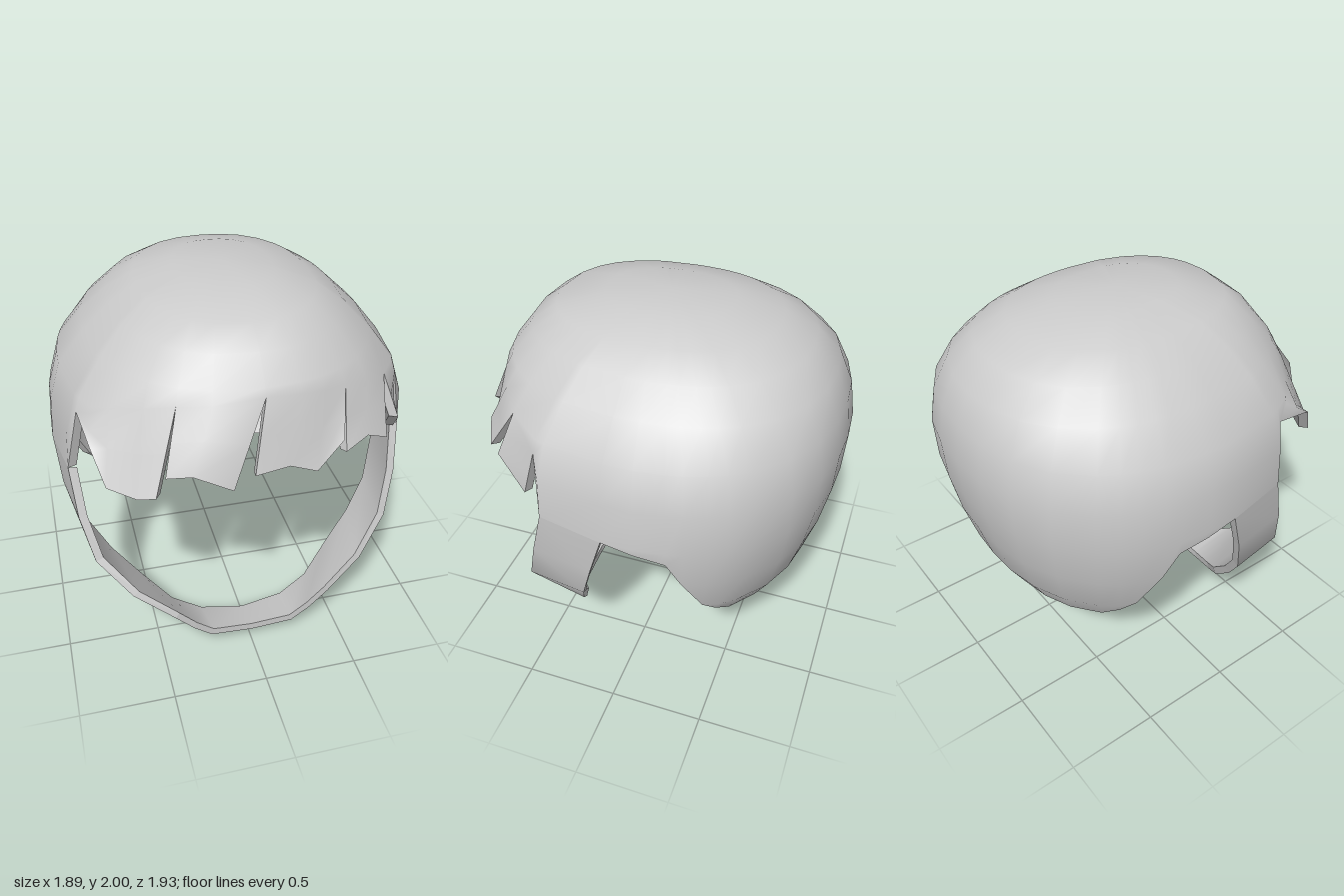
import * as THREE from 'three';
import { mergeVertices } from 'three/addons/utils/BufferGeometryUtils.js';

const V = (x, y, z) => new THREE.Vector3(x, y, z);

// Level rings of the dome: height, half width, front depth, back depth
const RINGS = [
  [2, 0, 0, 0], [1.98, 0.25, 0.34, 0.33], [1.92, 0.45, 0.59, 0.57], [1.83, 0.59, 0.71, 0.74],
  [1.7, 0.73, 0.81, 0.865], [1.53, 0.87, 0.89, 0.935], [1.33, 0.93, 0.96, 0.965],
  [1.1, 0.945, 0.97, 0.95], [0.86, 0.92, 0.95, 0.9], [0.63, 0.855, 0.9, 0.83], [0.46, 0.77, 0.85, 0.73],
];
const ROUND = 2.3; // how square the rings are

// Point on the dome at height y, in the direction of (dx, dz)
function domePoint(dx, dz, y) {
  let k = 0;
  while (k < RINGS.length - 2 && RINGS[k + 1][0] > y) k++;
  const p = RINGS[k], q = RINGS[k + 1], t = (p[0] - y) / (p[0] - q[0]);
  const mix = (i) => p[i] + (q[i] - p[i]) * t;
  const a = mix(1), c = mix(dz > 0 ? 2 : 3);
  if (a < 1e-6) return V(0, y, 0);
  const s = Math.pow(Math.pow(Math.abs(dx) / a, ROUND) + Math.pow(Math.abs(dz) / c, ROUND), -1 / ROUND);
  return V(dx * s, y, dz * s);
}

// One column from the crown down to height end, then optionally on to a lock tip
function column(dx, dz, end, tip) {
  const pts = RINGS.map((r) => domePoint(dx, dz, Math.max(r[0], end)));
  const last = pts[pts.length - 1];
  const goal = tip ? V(...tip) : last;
  for (const t of [0.5, 1]) pts.push(last.clone().lerp(goal, t));
  return pts;
}

function surface(quads, smooth) {
  const pos = [];
  for (const [a, b, c, d] of quads)
    for (const tri of [[a, b, c], [a, c, d]]) {
      const area = tri[1].clone().sub(tri[0]).cross(tri[2].clone().sub(tri[0])).length();
      if (area > 1e-7) for (const v of tri) pos.push(v.x, v.y, v.z);
    }
  let geo = new THREE.BufferGeometry();
  geo.setAttribute('position', new THREE.Float32BufferAttribute(pos, 3));
  if (smooth) geo = mergeVertices(geo, 1e-4);
  geo.computeVertexNormals();
  return geo;
}

// Thick sheet from a grid of points: smooth outside and inside, flat rims
function shell(name, outer, toInner, closed, topRim) {
  const inner = outer.map((col) => col.map(toInner));
  const out = [], ins = [], rim = [];
  const n = outer.length, last = outer[0].length - 1;
  for (let i = 0; i < (closed ? n : n - 1); i++) {
    const A = outer[i], B = outer[(i + 1) % n], a = inner[i], b = inner[(i + 1) % n];
    for (let j = 0; j < last; j++) {
      out.push([A[j], B[j], B[j + 1], A[j + 1]]);
      ins.push([b[j], a[j], a[j + 1], b[j + 1]]);
    }
    rim.push([A[last], B[last], b[last], a[last]]);
    if (topRim) rim.push([a[0], b[0], B[0], A[0]]);
  }
  const group = new THREE.Group();
  group.name = name;
  const material = new THREE.MeshStandardMaterial({ color: 0xcccccc });
  for (const [part, quads, smooth] of [['Outside', out, true], ['Inside', ins, true], ['Rim', rim, false]]) {
    const mesh = new THREE.Mesh(surface(quads, smooth), material);
    mesh.name = name + part;
    group.add(mesh);
  }
  return group;
}

export function createModel() {
  const model = new THREE.Group();

  // Nape, ear cut-out and strap root on the left half: direction x, z and lower edge
  const side = [
    [0.15, -0.72, 0.465], [0.3, -0.68, 0.47], [0.45, -0.62, 0.48], [0.6, -0.53, 0.49], [0.69, -0.48, 0.56],
    [0.77, -0.43, 0.65], [0.87, -0.35, 0.87], [0.91, -0.28, 1.02], [0.94, -0.12, 1.06],
    [0.945, 0.04, 1.1], [0.9, 0.39, 1.12],
  ];

  // Fringe from left to right: brow direction x, z, brow height, and the lock tip (none at a notch)
  const fringe = [
    [0.85, 0.43, 1.46],
    [0.85, 0.43, 1.46, [0.81, 1.18, 0.5]],
    [0.7, 0.6, 1.56, [0.75, 1.34, 0.66]],
    [0.7, 0.6, 1.56],
    [0.7, 0.6, 1.56, [0.65, 1.3, 0.76]],
    [0.57, 0.72, 1.6, [0.52, 1.37, 0.82]],
    [0.43, 0.8, 1.63, [0.4, 1.32, 0.86]],
    [0.43, 0.8, 1.63],
    [0.43, 0.8, 1.63, [0.38, 1.4, 0.87]],
    [0.3, 0.83, 1.64, [0.24, 1.27, 0.91]],
    [0.18, 0.84, 1.65, [0.1, 1.33, 0.92]],
    [0, 0.85, 1.66, [-0.07, 1.31, 0.93]],
    [0, 0.85, 1.66],
    [0, 0.85, 1.66, [-0.18, 1.27, 0.965]],
    [-0.25, 0.84, 1.64, [-0.37, 1.38, 0.965]],
    [-0.42, 0.8, 1.63, [-0.48, 1.33, 0.88]],
    [-0.42, 0.8, 1.63],
    [-0.42, 0.8, 1.63, [-0.53, 1.24, 0.9]],
    [-0.56, 0.72, 1.6, [-0.61, 1.22, 0.86]],
    [-0.7, 0.6, 1.56, [-0.74, 1.23, 0.75]],
    [-0.78, 0.52, 1.5, [-0.79, 1.4, 0.66]],
    [-0.85, 0.43, 1.46],
  ];
  const mirrored = side.map(([x, z, y]) => [-x, z, y]).reverse();
  const columns = [[0, -0.73, 0.46], ...side, ...fringe, ...mirrored].map((c) => column(...c));
  const shrink = (p) => V(p.x * 0.95, p.y > 1.2 ? 1.2 + (p.y - 1.2) * 0.96 : p.y, p.z * 0.955);
  model.add(shell('hairCap', columns, shrink, true, false));

  // Band under the chin: front edge and rear edge at each station
  const half = [
    [domePoint(0.9, 0.39, 1.12), domePoint(0.945, 0.04, 1.1)],
    [V(0.87, 0.85, 0.46), V(0.92, 0.85, 0.12)],
    [V(0.81, 0.6, 0.53), V(0.855, 0.6, 0.2)],
    [V(0.64, 0.41, 0.635), V(0.74, 0.42, 0.26)],
    [V(0.43, 0.27, 0.71), V(0.58, 0.24, 0.325)],
    [V(0.33, 0.17, 0.71), V(0.42, 0.1, 0.42)],
    [V(0.23, 0.09, 0.705), V(0.25, 0.03, 0.47)],
  ];
  const flip = half.map((s) => s.map((p) => V(-p.x, p.y, p.z))).reverse();
  const band = [...half, [V(0, 0.07, 0.7), V(0, 0, 0.49)], ...flip];
  model.add(shell('chinBand', band, (p) => V(p.x * 0.95, 1.1 + (p.y - 1.1) * 0.96, p.z), false, true));

  return model;
}
